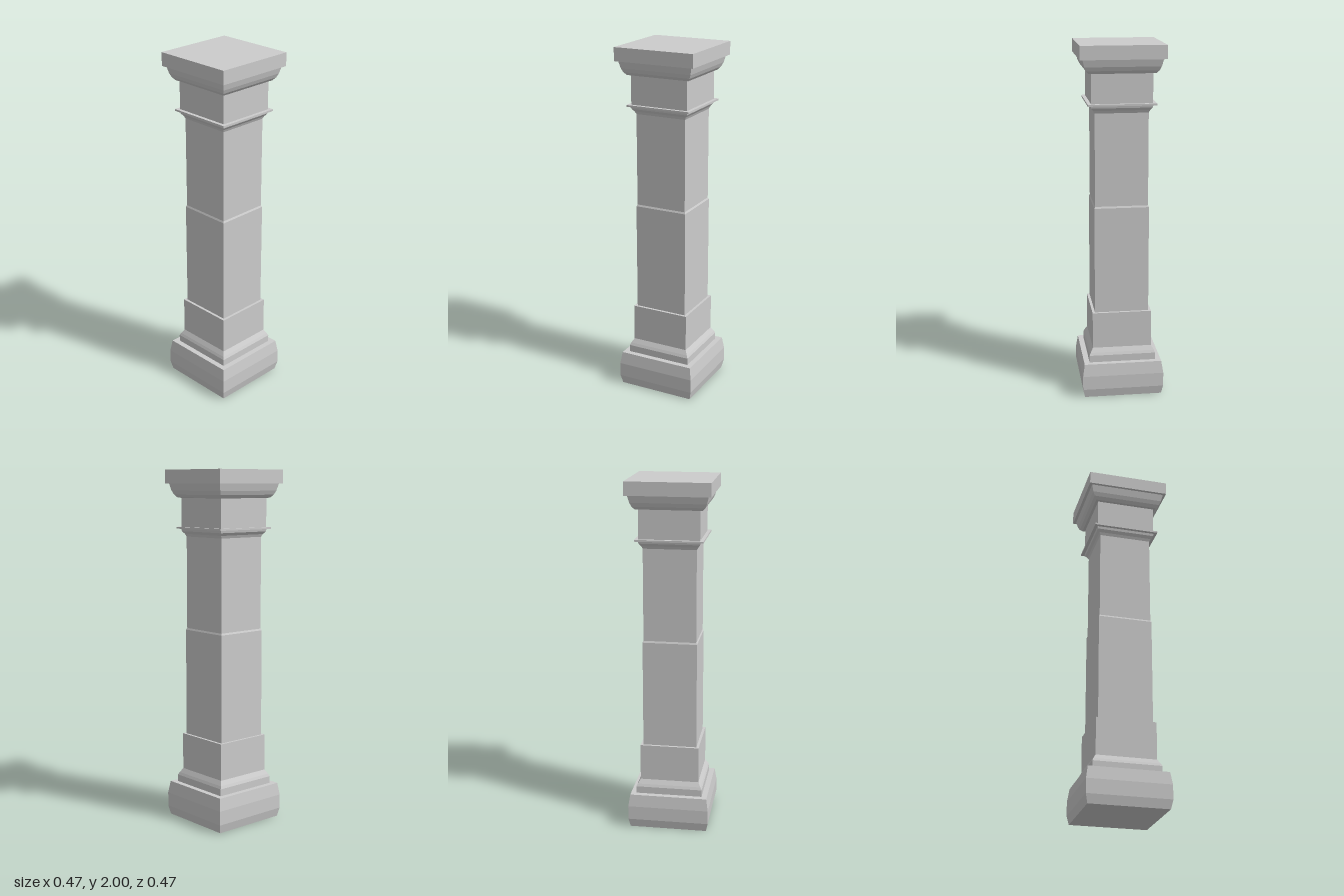
import * as THREE from 'three';

const material = new THREE.MeshStandardMaterial({ color: 0xcccccc, flatShading: true });

// Square-plan moulding from a [half width, height] profile, listed bottom to top
function squareMoulding(name, profile) {
  const points = profile.map(([half, y]) => new THREE.Vector2(half * Math.SQRT2, y));
  const geometry = new THREE.LatheGeometry(points, 4, Math.PI / 4).toNonIndexed();
  geometry.computeVertexNormals();
  const mesh = new THREE.Mesh(geometry, material);
  mesh.name = name;
  return mesh;
}

export function createModel() {
  const column = new THREE.Group();
  column.name = 'squareColumn';

  column.add(
    // Bulging plinth with closed underside
    squareMoulding('plinth', [
      [0, 0], [0.221, 0], [0.232, 0.05], [0.232, 0.13], [0.221, 0.2], [0.19, 0.2],
    ]),
    // Pedestal block with sloped foot
    squareMoulding('pedestal', [
      [0.19, 0.2], [0.19, 0.24], [0.183, 0.255], [0.168, 0.28], [0.168, 0.49], [0.153, 0.49],
    ]),
    // Shaft, slightly narrower in its upper half
    squareMoulding('shaft', [
      [0.153, 0.49], [0.153, 1.1], [0.148, 1.11], [0.148, 1.63],
    ]),
    // Flare and thin projecting ring
    squareMoulding('neckRing', [
      [0.148, 1.63], [0.155, 1.645], [0.167, 1.66], [0.17, 1.674],
      [0.188, 1.674], [0.188, 1.684], [0.168, 1.684],
    ]),
    squareMoulding('neckBlock', [[0.168, 1.684], [0.168, 1.845]]),
    // Curved moulding below the top slab
    squareMoulding('capital', [
      [0.168, 1.845], [0.183, 1.847], [0.197, 1.863], [0.207, 1.885], [0.217, 1.925],
    ]),
    // Top slab
    squareMoulding('abacus', [
      [0.217, 1.925], [0.233, 1.925], [0.233, 2], [0, 2],
    ]),
  );
  return column;
}
